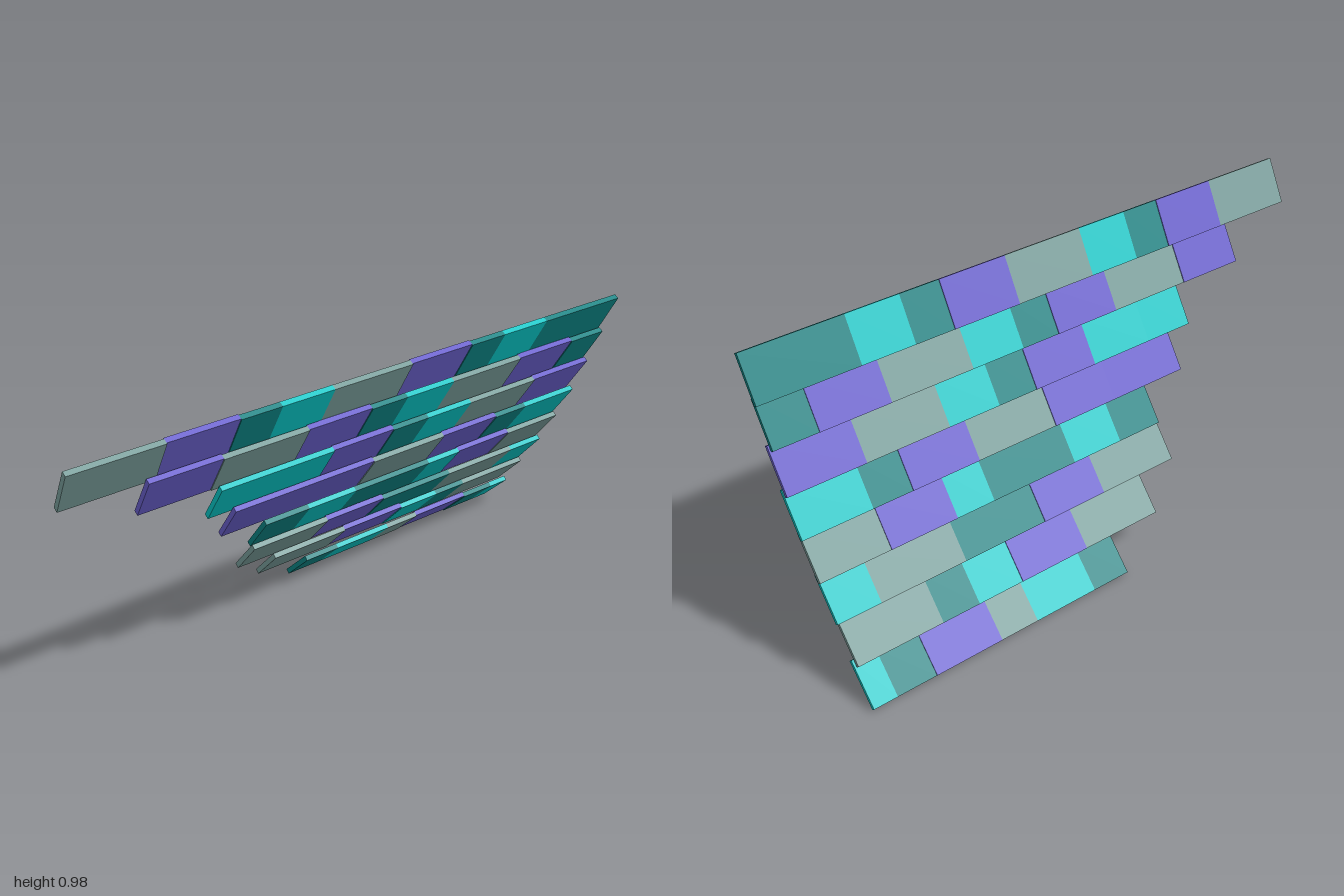
import * as THREE from 'three';

const COLORS = { g: 0x7a9f9c, p: 0x6a60cd, d: 0x0b8585, c: 0x04c8c8 };
const NAMES = { g: 'greyShingle', p: 'purpleShingle', d: 'darkTealShingle', c: 'turquoiseShingle' };
const LENGTH = 0.157, THICK = 0.0175;

// Courses from bottom to top: centre x, y, slope in degrees, colours and seams from front to back
const COURSES = [
  [-0.21, 0.065, 45, 'dcgpdc', [-0.04, -0.175, -0.4, -0.535, -0.77, -0.905, -0.985]],
  [-0.136, 0.178, 47.5, 'gpcdg', [0.14, -0.15, -0.4, -0.56, -0.69, -0.98]],
  [-0.06, 0.295, 50, 'gpdgc', [0.27, -0.02, -0.255, -0.55, -0.845, -0.99]],
  [0.005, 0.411, 52.5, 'dcdcpg', [0.265, 0.1, -0.085, -0.395, -0.53, -0.76, -0.995]],
  [0.068, 0.532, 55, 'ppgpdc', [0.41, 0.125, -0.11, -0.4, -0.635, -0.77, -1]],
  [0.124, 0.655, 57, 'ccpdcgp', [0.49, 0.315, 0.09, -0.14, -0.28, -0.46, -0.745, -1]],
  [0.179, 0.783, 59, 'pgpdcgpd', [0.745, 0.51, 0.22, -0.01, -0.145, -0.33, -0.615, -0.85, -0.995]],
  [0.227, 0.911, 61.3, 'gpdcgpdcd', [1, 0.71, 0.48, 0.345, 0.165, -0.12, -0.355, -0.49, -0.67, -1]],
];

export function createModel() {
  const model = new THREE.Group();
  model.name = 'shingledRoofPanel';
  const materials = {};
  for (const k in COLORS) materials[k] = new THREE.MeshStandardMaterial({ color: COLORS[k] });

  COURSES.forEach(([x, y, degrees, colors, seams], row) => {
    // Each course is tilted so its local x runs up the slope
    const course = new THREE.Group();
    course.name = `shingleCourse${row + 1}`;
    course.position.set(x, y, 0);
    course.rotation.z = THREE.MathUtils.degToRad(degrees);

    [...colors].forEach((k, i) => {
      const width = seams[i] - seams[i + 1];
      const shingle = new THREE.Mesh(new THREE.BoxGeometry(LENGTH, THICK, width), materials[k]);
      shingle.name = NAMES[k];
      // Purple shingles sit slightly proud of the rest
      shingle.position.set(0, k === 'p' ? 0.002 : -0.001, (seams[i] + seams[i + 1]) / 2);
      course.add(shingle);
    });
    model.add(course);
  });
  return model;
}
